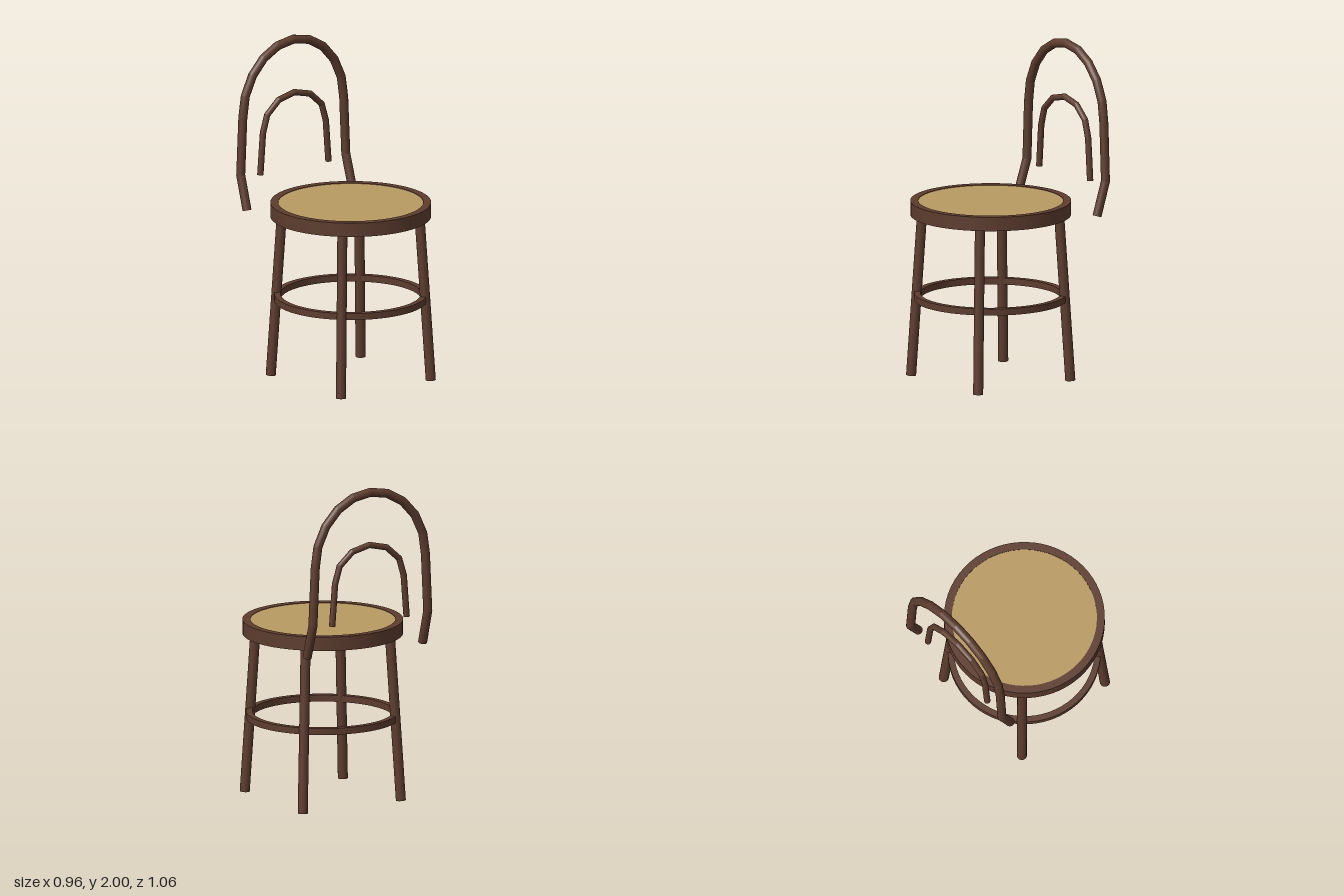
import * as THREE from 'three';
import { toCreasedNormals } from 'three/addons/utils/BufferGeometryUtils.js';

const SEAT_Z = 0.053;

// Polyline as a curve, so a tube gets one mitred ring per corner
class Polyline extends THREE.Curve {
  constructor(points) { super(); this.points = points; }
  getPoint(t, target = new THREE.Vector3()) {
    const p = this.points, f = t * (p.length - 1);
    const i = Math.min(Math.floor(f + 1e-6), p.length - 2);
    return target.lerpVectors(p[i], p[i + 1], f - i);
  }
  getPointAt(t, target) { return this.getPoint(t, target); }
  getTangentAt(t, target = new THREE.Vector3()) {
    const p = this.points, n = p.length - 1, i = Math.round(t * n);
    const dir = (a, b) => p[b].clone().sub(p[a]).normalize();
    const before = i > 0 ? dir(i - 1, i) : dir(0, 1);
    const after = i < n ? dir(i, i + 1) : before;
    return target.copy(before).add(after).normalize();
  }
}

export function createModel() {
  const model = new THREE.Group();
  model.name = 'chair';
  const wood = new THREE.MeshStandardMaterial({ color: 0x5d3c2e });
  wood.name = 'darkWood';
  const cane = new THREE.MeshStandardMaterial({ color: 0xb89a62 });
  cane.name = 'cane';

  const add = (name, geometry, material, parent = model) => {
    const mesh = new THREE.Mesh(geometry, material);
    mesh.name = name;
    parent.add(mesh);
    return mesh;
  };

  // Flat hoop with a rectangular section
  const hoop = (name, inner, outer, y0, y1) => {
    const profile = [[inner, y0], [outer, y0], [outer, y1], [inner, y1], [inner, y0]]
      .map(([r, y]) => new THREE.Vector2(r, y));
    const geometry = toCreasedNormals(new THREE.LatheGeometry(profile, 64), 0.6);
    add(name, geometry, wood).position.z = SEAT_Z;
  };

  // Seat rim, woven panel and foot ring
  hoop('seatRim', 0.433, 0.48, 1.0, 1.085);
  add('seatPanel', new THREE.CylinderGeometry(0.435, 0.435, 0.04, 64), cane)
    .position.set(0, 1.062, SEAT_Z);
  hoop('footRing', 0.42, 0.457, 0.48, 0.52);

  // Four splayed legs
  for (const sx of [-1, 1]) {
    for (const sz of [-1, 1]) {
      const foot = new THREE.Vector3(sx * 0.34, 0.002, SEAT_Z + sz * 0.34);
      const top = new THREE.Vector3(sx * 0.292, 1.015, SEAT_Z + sz * 0.292);
      const axis = top.clone().sub(foot);
      const leg = add((sz > 0 ? 'front' : 'back') + (sx > 0 ? 'Left' : 'Right') + 'Leg',
        new THREE.CylinderGeometry(0.03, 0.03, axis.length(), 20), wood);
      leg.position.copy(foot).lerp(top, 0.5);
      leg.quaternion.setFromUnitVectors(new THREE.Vector3(0, 1, 0), axis.normalize());
    }
  }

  // Bent hoop: side posts listed from the bottom, then a half ellipse in segments
  const bentHoop = (name, posts, [a, b, y, z], segments, radius) => {
    const group = new THREE.Group();
    group.name = name;
    model.add(group);
    const points = posts.map(p => new THREE.Vector3(...p));
    for (let i = 0; i <= segments; i++) {
      const t = Math.PI * i / segments;
      points.push(new THREE.Vector3(a * Math.cos(t), y + b * Math.sin(t), z));
    }
    for (const p of [...posts].reverse()) points.push(new THREE.Vector3(-p[0], p[1], p[2]));
    const tube = new THREE.TubeGeometry(new Polyline(points), points.length - 1, radius, 24);
    add(name + 'Tube', toCreasedNormals(tube, 0.28), wood, group);
    // End caps
    const n = points.length;
    for (const [end, next] of [[0, 1], [n - 1, n - 2]]) {
      const cap = add(name + 'Cap', new THREE.CircleGeometry(radius, 24), wood, group);
      cap.position.copy(points[end]);
      cap.quaternion.setFromUnitVectors(new THREE.Vector3(0, 0, 1),
        points[end].clone().sub(points[next]).normalize());
    }
  };
  bentHoop('backHoop', [[0.4, 0.995, -0.44], [0.398, 1.2, -0.504]],
    [0.382, 0.423, 1.55, -0.504], 10, 0.027);
  bentHoop('innerBackHoop', [[0.258, 1.18, -0.493]],
    [0.238, 0.213, 1.435, -0.493], 6, 0.019);

  return model;
}
